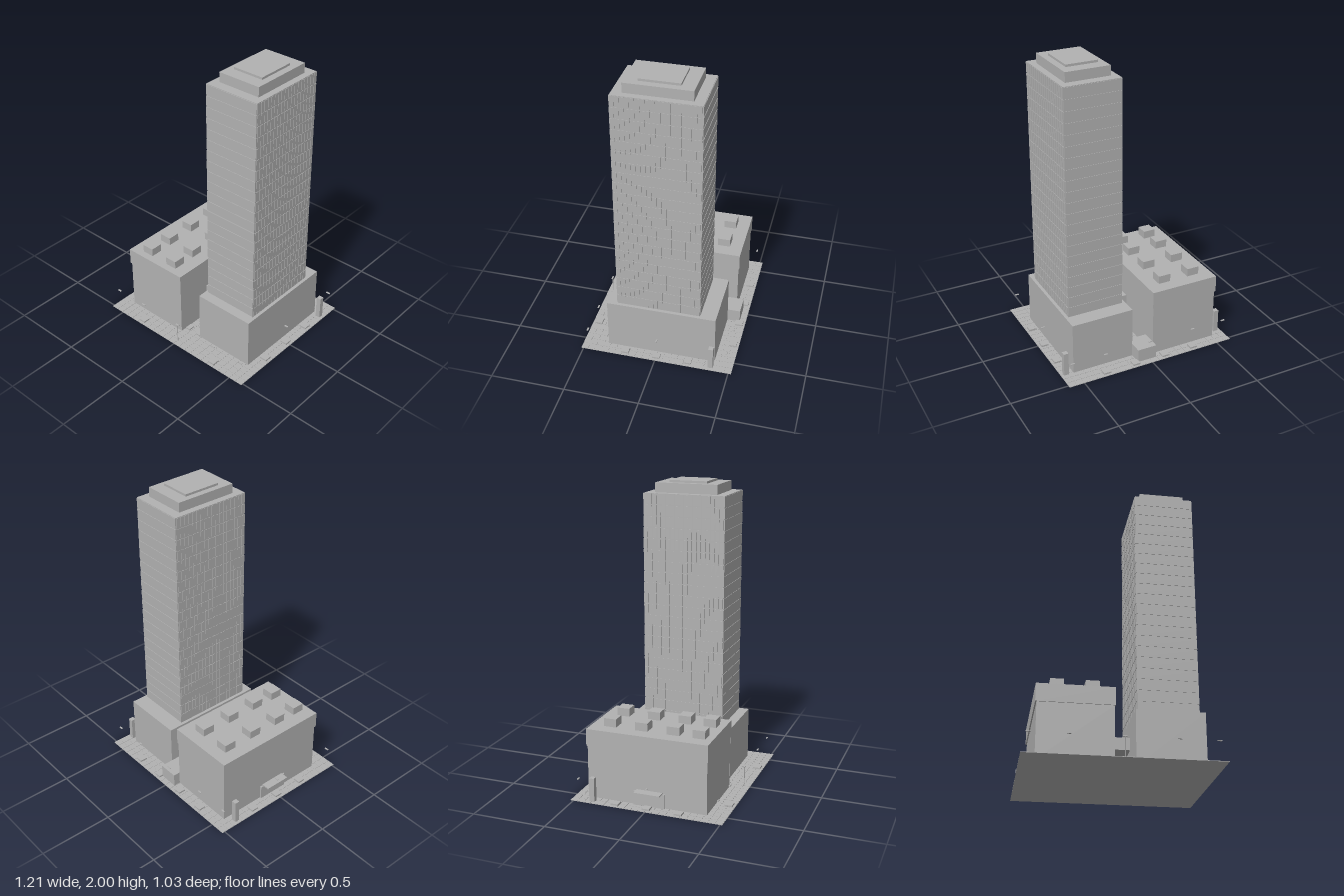
import * as THREE from 'three';
import { mergeGeometries } from 'three/addons/utils/BufferGeometryUtils.js';

const concrete = new THREE.MeshStandardMaterial({ color: 0xb2b2b2 });
concrete.name = 'concrete grey';

// Box given by its limits on each axis
function block(x0, x1, y0, y1, z0, z1) {
  return new THREE.BoxGeometry(x1 - x0, y1 - y0, z1 - z0)
    .translate((x0 + x1) / 2, (y0 + y1) / 2, (z0 + z1) / 2);
}

// Box given by its centre on the ground and its size
function standing(x, z, w, d, y0, y1) {
  return block(x - w / 2, x + w / 2, y0, y1, z - d / 2, z + d / 2);
}

export function createModel() {
  const model = new THREE.Group();
  model.name = 'towerComplex';
  const add = (name, ...geometries) => {
    const mesh = new THREE.Mesh(geometries.length > 1 ? mergeGeometries(geometries) : geometries[0], concrete);
    mesh.name = name;
    model.add(mesh);
  };

  // Paved plaza
  const ground = 0.004;
  add('plazaBase', block(-0.605, 0.605, 0, 0.002, -0.52, 0.515));
  const tiles = [];
  const cols = 24, rows = 22, tw = 1.21 / cols, td = 1.035 / rows;
  for (let i = 0; i < cols; i++) {
    for (let j = 0; j < rows; j++) {
      tiles.push(standing(-0.605 + (i + 0.5) * tw, -0.52 + (j + 0.5) * td, tw - 0.003, td - 0.003, 0.002, ground));
    }
  }
  add('pavingTiles', ...tiles);

  // Tower on its podium, with stepped roof
  add('podium', block(0.087, 0.518, 0.002, 0.36, -0.39, 0.345));
  const tx0 = 0.108, tx1 = 0.496, tz0 = -0.281, tz1 = 0.277;
  add('towerShaft', block(tx0, tx1, 0.36, 1.92, tz0, tz1));
  add('towerUpperStep', block(0.153, 0.453, 1.92, 1.985, -0.217, 0.212));
  add('towerRoofCap', block(0.194, 0.408, 1.985, 2, -0.131, 0.128));

  // Facade: floor bands on front and back, window panes on both sides
  const floors = 21, fh = 1.56 / floors, bays = 18, bw = (tz1 - tz0) / bays, proud = 0.003;
  const bands = [], panes = [];
  for (let f = 0; f < floors; f++) {
    const y0 = 0.36 + f * fh + 0.004, y1 = y0 + fh - 0.008;
    bands.push(block(tx0, tx1, y0, y1, tz1, tz1 + proud));
    bands.push(block(tx0, tx1, y0, y1, tz0 - proud, tz0));
    for (let b = 0; b < bays; b++) {
      const z0 = tz0 + b * bw + 0.004, z1 = z0 + bw - 0.008;
      panes.push(block(tx1, tx1 + proud, y0, y1, z0, z1));
      panes.push(block(tx0 - proud, tx0, y0, y1, z0, z1));
    }
  }
  add('floorBands', ...bands);
  add('sidePanes', ...panes);

  // Low annex with a slightly overhanging upper storey
  add('annexBody', block(-0.515, -0.047, 0.002, 0.36, -0.43, 0.385));
  add('annexUpperStorey', block(-0.523, -0.042, 0.36, 0.475, -0.436, 0.391));
  const units = [];
  for (const x of [-0.392, -0.175]) {
    for (const z of [-0.306, -0.089, 0.128, 0.3]) units.push(standing(x, z, 0.085, 0.085, 0.475, 0.53));
  }
  add('roofUnits', ...units);

  // Links between the two buildings
  add('skyBridge', block(-0.047, 0.087, 0.17, 0.25, -0.047, 0.128));
  add('rearLobby', block(-0.047, 0.087, 0.002, 0.095, -0.477, -0.33));

  // Side entrance
  add('sideDoorFrame', block(-0.527, -0.51, 0.002, 0.1, -0.11, 0.105));
  add('sideCanopy', block(-0.573, -0.51, 0.1, 0.108, -0.089, 0.086));

  // Rear corner pylons
  add('pylons', ...[-1, 1].map(s => standing(s * 0.568, -0.375, 0.033, 0.033, 0.002, 0.165)));

  // Planters around the plaza and in the courtyard corners
  const planters = [];
  for (const s of [-1, 1]) {
    for (const z of [-0.218, -0.003, 0.214]) planters.push(standing(s * 0.562, z, 0.05, 0.05, 0.002, 0.015));
    for (const z of [-0.479, 0.473]) planters.push(standing(s * 0.325, z, 0.05, 0.05, 0.002, 0.015));
    planters.push(standing(s * 0.109, -0.479, 0.05, 0.05, 0.002, 0.015));
  }
  for (const z of [-0.316, 0.324]) {
    planters.push(standing(-0.026, z, 0.034, 0.045, 0.002, 0.013));
    planters.push(standing(0.068, z, 0.036, 0.045, 0.002, 0.013));
  }
  add('planters', ...planters);

  // Lamp heads, and the one post by the front walk
  const lamps = [];
  for (const x of [-0.563, -0.325, 0, 0.325, 0.563]) {
    for (const z of [-0.479, 0.474]) lamps.push(standing(x, z, 0.027, 0.01, 0.138, 0.143));
  }
  for (const x of [-0.563, 0.563]) lamps.push(standing(x, -0.003, 0.027, 0.01, 0.138, 0.143));
  add('lampHeads', ...lamps);
  add('lampPost', new THREE.CylinderGeometry(0.003, 0.003, 0.136, 6).translate(0, 0.07, 0.474));

  // Courtyard stools in groups of four
  const stools = [];
  for (const z of [-0.26, -0.19, -0.12, -0.055, 0.165, 0.25]) {
    for (const [dx, dz] of [[0.02, 0], [-0.02, 0], [0, 0.024], [0, -0.024]]) {
      stools.push(standing(0.023 + dx, z + dz, 0.011, 0.011, 0.002, 0.014));
    }
  }
  add('courtyardStools', ...stools);

  return model;
}
